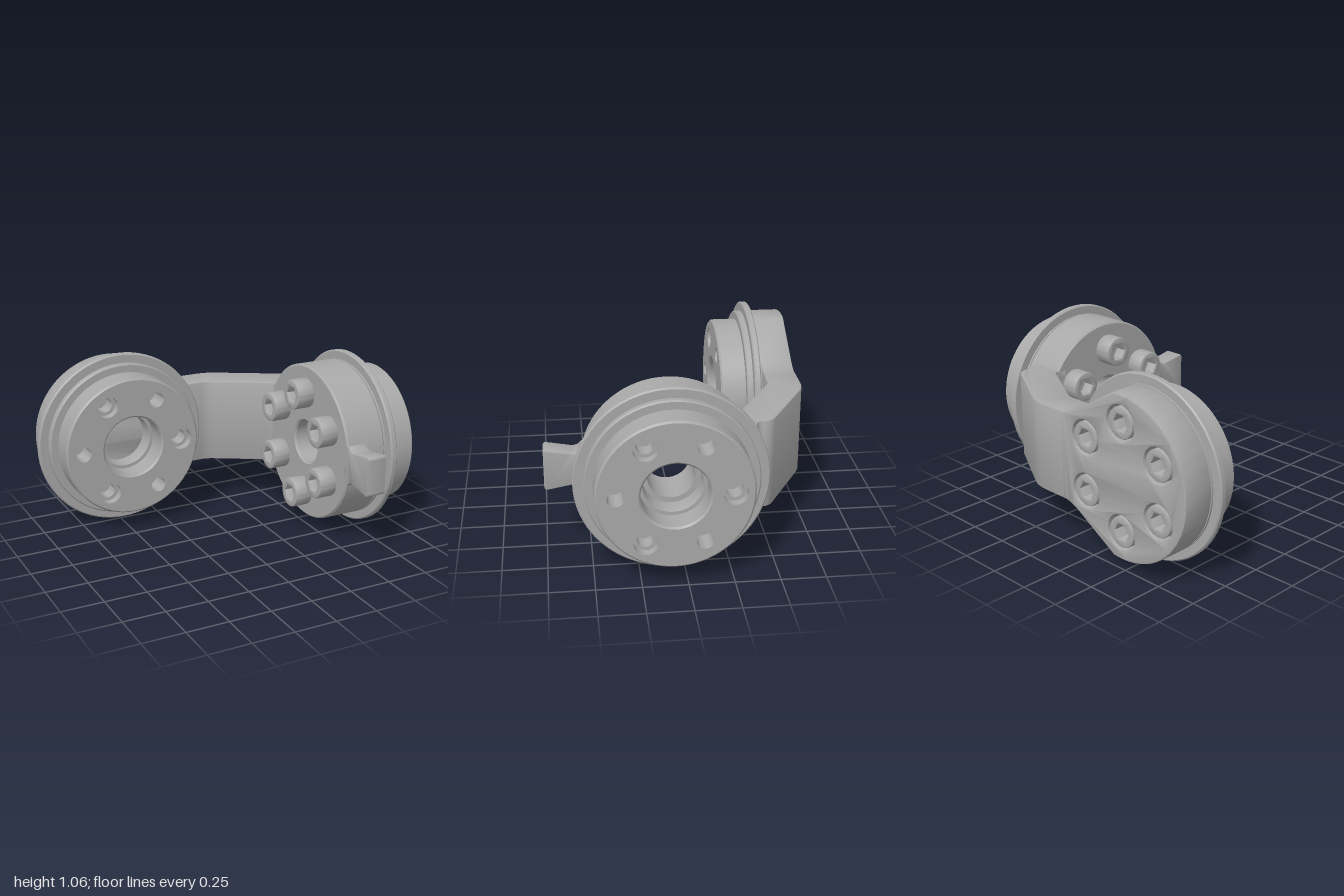
import * as THREE from 'three';
import { toCreasedNormals } from 'three/addons/utils/BufferGeometryUtils.js';

const metal = new THREE.MeshStandardMaterial({ color: 0xa8a8a8, side: THREE.DoubleSide });
metal.name = 'machined grey metal';

const CY = 0.535;     // height of both axes
const BOLT_R = 0.315; // bolt circle radius

function add(parent, name, geometry) {
  const mesh = new THREE.Mesh(toCreasedNormals(geometry, 0.5), metal);
  mesh.name = name;
  parent.add(mesh);
  return mesh;
}

// Turned part: profile points are [radius, z], axis along z
function turned(points) {
  const profile = points.map(([r, z]) => new THREE.Vector2(r, z));
  return new THREE.LatheGeometry(profile, 72).rotateX(Math.PI / 2);
}

function circlePath(x, y, r) {
  const path = new THREE.Path();
  path.absarc(x, y, r, 0, Math.PI * 2, true);
  return path;
}

// Six positions on the bolt circle
function boltCircle(offset) {
  return Array.from({ length: 6 }, (_, i) => {
    const a = offset + i * Math.PI / 3;
    return [BOLT_R * Math.cos(a), BOLT_R * Math.sin(a), i];
  });
}

function extrude(shape, depth, bevel) {
  return new THREE.ExtrudeGeometry(shape, {
    depth: depth - 2 * bevel, bevelEnabled: bevel > 0, bevelSize: bevel, bevelThickness: bevel,
    bevelOffset: -bevel, bevelSegments: 2, curveSegments: 36,
  }).translate(0, 0, bevel);
}

// Open-ended wall of a drilled hole between two depths
function holeWall(r, z0, z1) {
  return new THREE.CylinderGeometry(r, r, z1 - z0, 28, 1, true)
    .rotateX(Math.PI / 2).translate(0, 0, (z0 + z1) / 2);
}

// Stepped output flange, joint plane at z = 0, facing +z
function outputFlange() {
  const g = new THREE.Group();
  g.name = 'outputFlange';
  add(g, 'flangeBody', turned([
    [0.16, 0], [0.475, 0], [0.475, 0.012], [0.523, 0.012], [0.531, 0.02], [0.531, 0.045],
    [0.523, 0.053], [0.475, 0.053], [0.475, 0.083], [0.468, 0.09], [0.425, 0.09],
    [0.425, 0.23], [0.415, 0.24],
  ]));
  add(g, 'flangeBore', turned([
    [0.195, 0.24], [0.185, 0.23], [0.185, 0.1], [0.165, 0.1], [0.16, 0.09], [0.16, 0],
  ]));
  const face = new THREE.Shape();
  face.absarc(0, 0, 0.415, 0, Math.PI * 2, false);
  face.holes.push(circlePath(0, 0, 0.195));
  const holes = boltCircle(0);
  for (const [x, y, i] of holes) face.holes.push(circlePath(x, y, i % 2 ? 0.046 : 0.066));
  add(g, 'flangeFace', new THREE.ShapeGeometry(face, 36).translate(0, 0, 0.24));
  // Counterbored and plain holes alternate
  for (const [x, y, i] of holes) {
    const hole = new THREE.Group();
    hole.name = 'flangeHole';
    hole.position.set(x, y, 0);
    const step = i % 2 ? 0.24 : 0.19;
    if (i % 2 === 0) {
      add(hole, 'counterbore', holeWall(0.066, step, 0.24));
      add(hole, 'counterboreStep', new THREE.RingGeometry(0.046, 0.066, 28).translate(0, 0, step));
    }
    add(hole, 'holeWall', holeWall(0.046, 0.1, step));
    add(hole, 'holeFloor', new THREE.CircleGeometry(0.046, 28).translate(0, 0, 0.1));
    g.add(hole);
  }
  return g;
}

// Ring of socket-head bolts whose heads face -z
function boltRing(z, length) {
  const g = new THREE.Group();
  g.name = 'socketBolts';
  const shape = new THREE.Shape();
  shape.absarc(0, 0, 0.09, 0, Math.PI * 2, false);
  shape.holes.push(new THREE.Path(Array.from({ length: 6 }, (_, i) => {
    const a = -i * Math.PI / 3;
    return new THREE.Vector2(0.052 * Math.cos(a), 0.052 * Math.sin(a));
  })));
  for (const [x, y] of boltCircle(Math.PI / 6)) {
    const bolt = new THREE.Group();
    bolt.name = 'socketBolt';
    bolt.position.set(x, y, z);
    add(bolt, 'boltHead', extrude(shape, length, 0.008));
    add(bolt, 'socketFloor', new THREE.CircleGeometry(0.054, 6).rotateX(Math.PI).translate(0, 0, 0.07));
    g.add(bolt);
  }
  return g;
}

// Round mounting plate that tapers into the arm
function mountingPlate() {
  const s = new THREE.Shape();
  const a = 1.44;
  s.absarc(0, 0, 0.475, a, Math.PI * 2 - a, false);
  s.lineTo(0.35, -0.297);
  s.quadraticCurveTo(0.41, -0.262, 0.47, -0.262);
  s.lineTo(0.47, 0.262);
  s.quadraticCurveTo(0.41, 0.262, 0.35, 0.297);
  for (const [x, y] of boltCircle(Math.PI / 6)) s.holes.push(circlePath(x, y, 0.102));
  return extrude(s, 0.19, 0.01).translate(0, 0, -0.19);
}

// Cranked arm, drawn in plan (x, -z) and extruded upwards
function crankedArm() {
  const s = new THREE.Shape();
  s.moveTo(-0.08, 0.56);
  s.lineTo(0.10, 0.56);
  s.quadraticCurveTo(0.14, 0.56, 0.18, 0.535);
  s.lineTo(0.48, 0.36);
  s.quadraticCurveTo(0.5, 0.348, 0.5, 0.325);
  s.lineTo(0.5, 0.27);
  s.lineTo(0.7, 0.27);
  s.lineTo(0.7, 0.40);
  s.quadraticCurveTo(0.67, 0.405, 0.67, 0.44);
  s.quadraticCurveTo(0.67, 0.485, 0.63, 0.51);
  s.lineTo(0.27, 0.72);
  s.quadraticCurveTo(0.215, 0.75, 0.14, 0.75);
  s.lineTo(-0.08, 0.75);
  return extrude(s, 0.524, 0.008).rotateX(-Math.PI / 2).translate(0, CY - 0.262, 0);
}

// Locating tab that widens towards its tip, drawn in (-z, y)
function locatingTab() {
  const s = new THREE.Shape();
  s.moveTo(-0.5, CY - 0.12);
  s.lineTo(-0.5, CY + 0.12);
  s.lineTo(-0.54, CY + 0.12);
  s.quadraticCurveTo(-0.56, CY + 0.09, -0.6, CY + 0.094);
  s.lineTo(-0.73, CY + 0.118);
  s.quadraticCurveTo(-0.75, CY + 0.12, -0.75, CY + 0.1);
  s.lineTo(-0.75, CY - 0.1);
  s.quadraticCurveTo(-0.75, CY - 0.12, -0.73, CY - 0.118);
  s.lineTo(-0.6, CY - 0.094);
  s.quadraticCurveTo(-0.56, CY - 0.09, -0.54, CY - 0.12);
  return extrude(s, 0.12, 0.006).rotateY(Math.PI / 2).translate(0.5, 0, 0);
}

export function createModel() {
  const model = new THREE.Group();
  model.name = 'crankedJointBracket';

  // Forward-facing joint
  const front = new THREE.Group();
  front.name = 'frontJoint';
  front.position.set(-0.47, CY, -0.56);
  front.add(outputFlange(), boltRing(-0.187, 0.187));
  add(front, 'mountingPlate', mountingPlate());
  model.add(front);

  // Sideways-facing joint with a thick housing and a through bore
  const side = new THREE.Group();
  side.name = 'sideJoint';
  side.position.set(0.75, CY, 0.07);
  side.rotation.y = Math.PI / 2;
  side.add(outputFlange(), boltRing(-0.36, 0.11));
  add(side, 'housing', turned([
    [0.13, 0], [0.13, -0.24], [0.14, -0.25], [0.467, -0.25], [0.477, -0.24],
    [0.477, -0.008], [0.469, 0], [0.13, 0],
  ]));
  model.add(side);

  add(model, 'crankedArm', crankedArm());
  add(model, 'locatingTab', locatingTab());
  return model;
}
